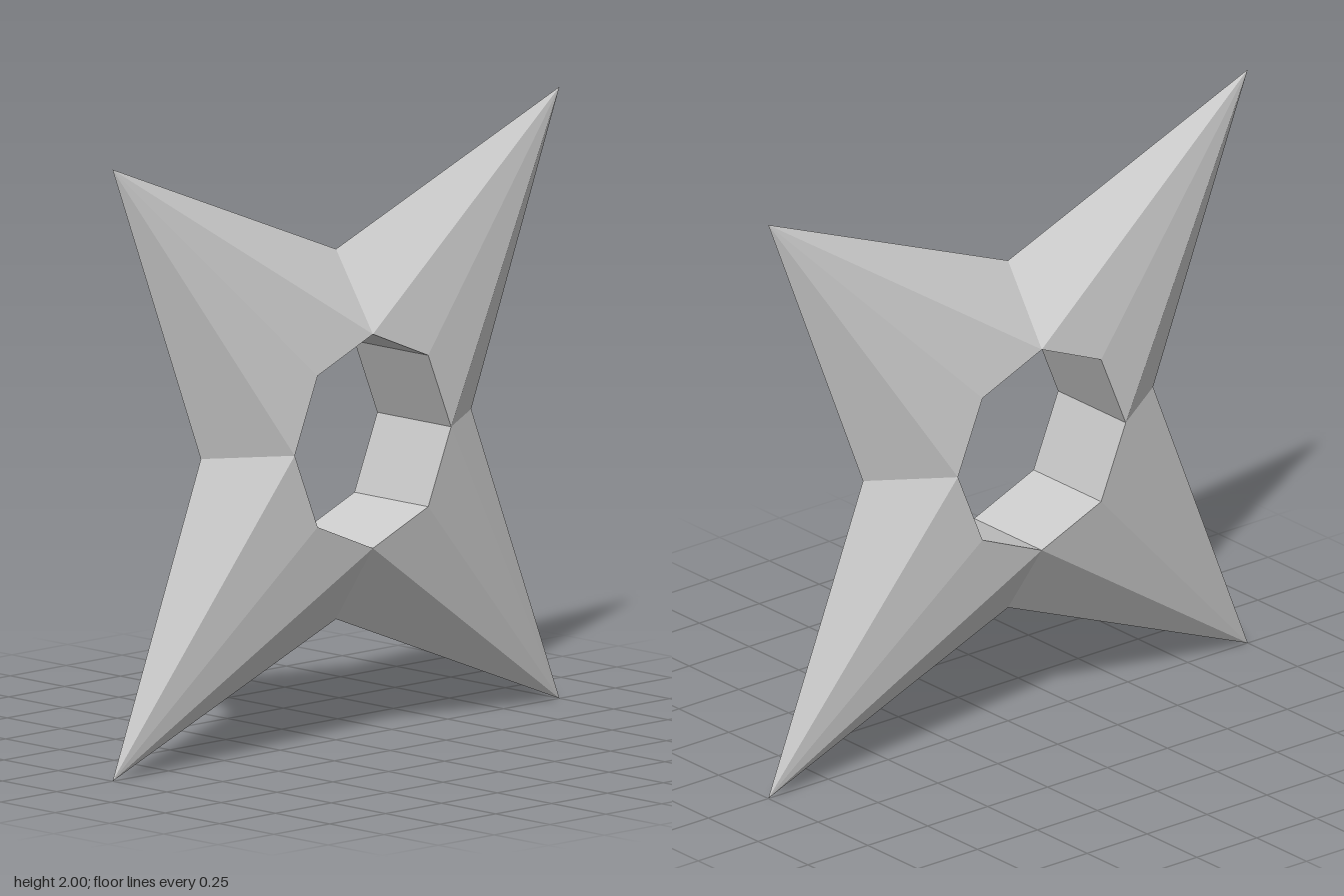
import * as THREE from 'three';

const SIDES = 8;
const TIP = Math.SQRT2;   // tip radius
const NOTCH = 0.605;      // radius of the notches between the points
const HOLE = 0.35;        // radius of the octagonal hole
const HALF = 0.17;        // half thickness at the hole rim

function point(i, radius, z) {
  const a = (i * Math.PI * 2) / SIDES;
  return [Math.cos(a) * radius, 1 + Math.sin(a) * radius, z];
}

function flatMesh(name, triangles) {
  const geometry = new THREE.BufferGeometry();
  geometry.setAttribute('position', new THREE.Float32BufferAttribute(triangles.flat(2), 3));
  geometry.computeVertexNormals();
  const mesh = new THREE.Mesh(geometry, new THREE.MeshStandardMaterial({ color: 0xcccccc, flatShading: true }));
  mesh.name = name;
  return mesh;
}

// Sloping facets of one side: sharp outer edge at z = 0 up to the rim of the hole
function bladeFace(side) {
  const triangles = [];
  const outer = (i) => point(i, i % 2 ? TIP : NOTCH, 0);
  const rim = (i) => point(i, HOLE, side * HALF);
  for (let i = 0; i < SIDES; i++) {
    const j = i + 1;
    // each facet pair is split from the tip to the rim corner below the notch
    const pair = i % 2
      ? [[outer(i), outer(j), rim(j)], [outer(i), rim(j), rim(i)]]
      : [[rim(i), outer(i), outer(j)], [rim(i), outer(j), rim(j)]];
    for (const [a, b, c] of pair) triangles.push(side > 0 ? [a, b, c] : [a, c, b]);
  }
  return triangles;
}

// Straight inner wall of the hole
function holeWall() {
  const triangles = [];
  for (let i = 0; i < SIDES; i++) {
    const f0 = point(i, HOLE, HALF), f1 = point(i + 1, HOLE, HALF);
    const b0 = point(i, HOLE, -HALF), b1 = point(i + 1, HOLE, -HALF);
    triangles.push([f0, f1, b1], [f0, b1, b0]);
  }
  return triangles;
}

export function createModel() {
  const star = new THREE.Group();
  star.name = 'throwingStar';
  star.add(
    flatMesh('frontBlades', bladeFace(1)),
    flatMesh('backBlades', bladeFace(-1)),
    flatMesh('holeWall', holeWall())
  );
  return star;
}
